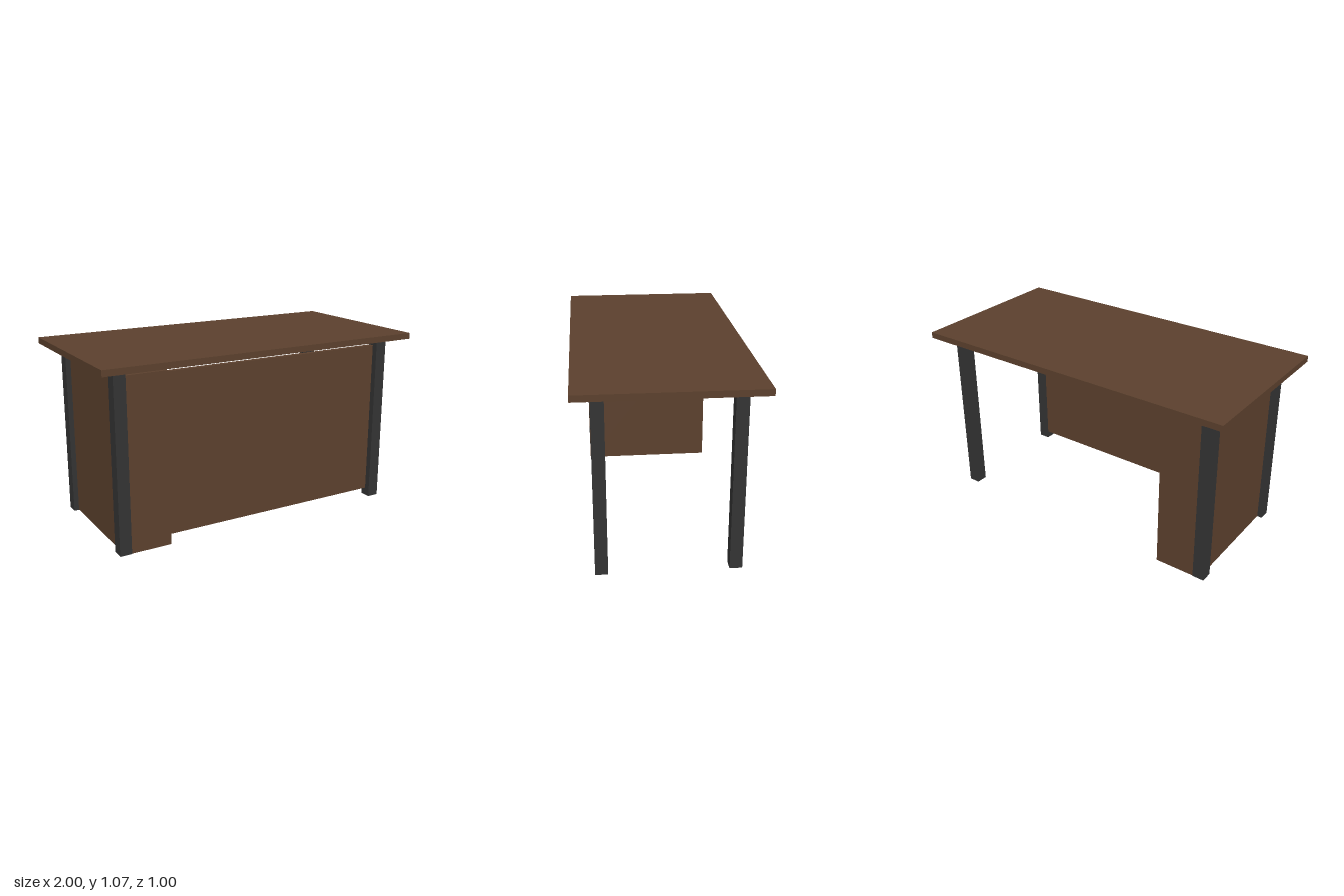
import * as THREE from 'three';

export function createModel() {
  const desk = new THREE.Group();
  desk.name = 'desk';

  const wood = new THREE.MeshStandardMaterial({ color: 0x5b402d });
  wood.name = 'brown wood';
  const metal = new THREE.MeshStandardMaterial({ color: 0x333333 });
  metal.name = 'dark grey metal';

  // Box given by its lower and upper limits on each axis
  function addBox(name, material, [x0, x1], [y0, y1], [z0, z1]) {
    const mesh = new THREE.Mesh(new THREE.BoxGeometry(x1 - x0, y1 - y0, z1 - z0), material);
    mesh.position.set((x0 + x1) / 2, (y0 + y1) / 2, (z0 + z1) / 2);
    mesh.name = name;
    desk.add(mesh);
    return mesh;
  }

  addBox('tabletop', wood, [-1, 1], [1.034, 1.07], [-0.5, 0.5]);

  // Four square legs
  for (const [side, sx] of [['Left', 1], ['Right', -1]]) {
    for (const [end, sz] of [['front', 1], ['back', -1]]) {
      const leg = addBox(`${end}${side}Leg`, metal, [-0.035, 0.035], [0, 1.034], [-0.035, 0.035]);
      leg.position.x = sx * 0.865;
      leg.position.z = sz * 0.365;
    }
  }

  // Pedestal cabinet between the right-hand legs, a hair inside their faces
  addBox('cabinet', wood, [-0.87, -0.59], [0.002, 1.003], [-0.399, 0.399]);

  // Thin front panel hung between the cabinet and the left leg
  addBox('modestyPanel', wood, [-0.6, 0.85], [0.047, 0.988], [0.335, 0.365]);

  return desk;
}
